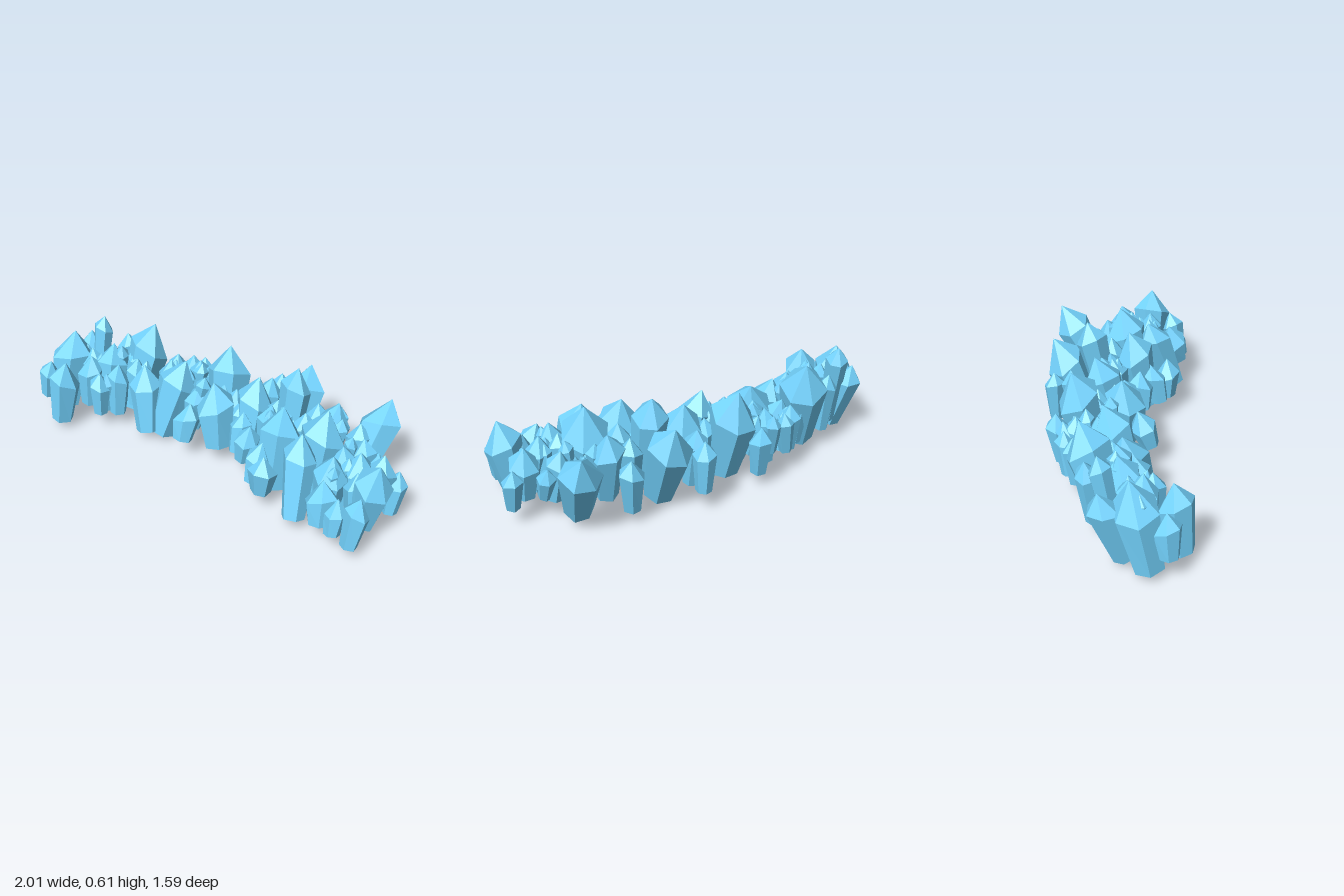
import * as THREE from 'three';

const material = new THREE.MeshStandardMaterial({ color: 0x74d4ff, flatShading: true });
const SIDES = 6;

// Small seeded generator for irregular facets
let seed = 7;
const rand = (a, b) => {
  seed = (seed * 16807) % 2147483647;
  return a + (b - a) * (seed / 2147483647);
};

// Main crystals: tip x, z, y, shoulder radius, base x, z, y
const LARGE = [
  [-0.79, -0.61, 0.50, 0.12, -0.88, -0.56, 0.04],
  [-0.71, -0.73, 0.43, 0.085, -0.75, -0.61, 0.04],
  [-0.62, -0.67, 0.56, 0.06, -0.68, -0.61, 0.08],
  [-0.56, -0.52, 0.47, 0.10, -0.62, -0.47, 0.06],
  [-0.32, -0.58, 0.56, 0.125, -0.46, -0.50, 0.05],
  [-0.14, -0.33, 0.47, 0.125, -0.29, -0.27, 0.03],
  [-0.38, -0.37, 0.42, 0.095, -0.37, -0.24, 0.05],
  [0.11, -0.36, 0.55, 0.125, 0.08, -0.26, 0.06],
  [0.01, -0.11, 0.47, 0.11, 0.03, -0.04, 0.10],
  [0.26, -0.12, 0.50, 0.115, 0.20, -0.02, 0.07],
  [0.55, -0.21, 0.52, 0.12, 0.43, -0.06, 0.06],
  [0.46, -0.04, 0.61, 0.09, 0.40, 0.05, 0.08],
  [0.37, 0.18, 0.52, 0.12, 0.32, 0.25, 0.06],
  [0.59, 0.27, 0.56, 0.13, 0.53, 0.32, 0.06],
  [0.95, 0.08, 0.49, 0.11, 0.77, 0.22, 0.08],
  [0.45, 0.37, 0.49, 0.095, 0.41, 0.53, 0.07],
  [0.80, 0.65, 0.50, 0.105, 0.75, 0.61, 0.11],
  [0.67, 0.10, 0.48, 0.095, 0.58, 0.17, 0.08],
  [0.60, 0.48, 0.43, 0.095, 0.57, 0.51, 0.06],
  [-0.83, -0.39, 0.42, 0.095, -0.88, -0.37, 0.05],
];

// Medium crystals: tip x, z, y, shoulder radius
const MEDIUM = [
  [-0.93, -0.50, 0.36, 0.07], [-0.69, -0.46, 0.42, 0.075], [-0.53, -0.40, 0.40, 0.07],
  [-0.64, -0.37, 0.36, 0.065], [-0.49, -0.66, 0.45, 0.06], [-0.42, -0.43, 0.42, 0.07],
  [-0.23, -0.48, 0.38, 0.07], [-0.19, -0.54, 0.38, 0.065], [-0.10, -0.54, 0.37, 0.055],
  [-0.06, -0.44, 0.40, 0.07], [0.08, -0.48, 0.36, 0.07], [-0.12, -0.10, 0.34, 0.075],
  [-0.07, -0.22, 0.38, 0.07], [0.40, -0.30, 0.40, 0.06], [0.34, -0.23, 0.42, 0.065],
  [0.69, -0.04, 0.38, 0.07], [0.20, 0.14, 0.36, 0.07], [0.26, 0.25, 0.34, 0.07],
  [0.26, 0.37, 0.34, 0.08], [0.49, 0.14, 0.45, 0.07], [0.78, 0.30, 0.40, 0.07],
  [0.86, 0.33, 0.33, 0.05], [0.74, 0.45, 0.43, 0.08], [0.86, 0.46, 0.42, 0.08],
  [0.94, 0.48, 0.33, 0.06], [0.54, 0.59, 0.37, 0.085], [0.71, 0.72, 0.36, 0.07],
  [0.61, 0.66, 0.31, 0.06], [0.32, 0.03, 0.42, 0.08], [0.57, 0.03, 0.43, 0.07],
  [0.14, -0.18, 0.38, 0.07], [0.78, 0.17, 0.40, 0.07], [0.17, 0.01, 0.36, 0.06],
  [0.71, 0.57, 0.40, 0.065], [0.66, 0.39, 0.42, 0.06], [-0.69, -0.55, 0.42, 0.065],
];

// Six-sided shaft that widens upward to a slanted shoulder, then closes in a point
function crystal(name, tip, base, radius) {
  const length = tip.distanceTo(base);
  const shoulder = length - Math.min(radius * 1.25, length * 0.45);
  const profile = [[0, 0], [radius * 0.69, 0], [radius, shoulder], [0, length]]
    .map(([r, y]) => new THREE.Vector2(r, y));
  const geometry = new THREE.LatheGeometry(profile, SIDES, rand(0, Math.PI));

  // Uneven shoulder height and a slightly oval section
  const p = geometry.attributes.position;
  const phase = rand(0, Math.PI * 2);
  for (let i = 0; i < p.count; i++) {
    const x = p.getX(i), z = p.getZ(i);
    const angle = Math.atan2(z, x);
    const oval = 1 + 0.06 * Math.cos(2 * angle + phase);
    p.setX(i, x * oval);
    p.setZ(i, z * oval);
    if (Math.abs(p.getY(i) - shoulder) < 1e-5) {
      p.setY(i, shoulder + radius * 0.3 * Math.cos(angle + phase));
    }
  }
  geometry.computeVertexNormals();

  const mesh = new THREE.Mesh(geometry, material);
  mesh.name = name;
  mesh.position.copy(base);
  mesh.quaternion.setFromUnitVectors(
    new THREE.Vector3(0, 1, 0), tip.clone().sub(base).normalize());
  return mesh;
}

export function createModel() {
  const model = new THREE.Group();
  model.name = 'crystalCluster';
  const cluster = new THREE.Group();
  cluster.name = 'crystals';
  model.add(cluster);
  const V = (x, y, z) => new THREE.Vector3(x, y, z);

  LARGE.forEach(([x, z, y, r, bx, bz, by]) =>
    cluster.add(crystal('largeCrystal', V(x, y, z), V(bx, by, bz), r)));

  MEDIUM.forEach(([x, z, y, r]) => {
    const base = V(x - rand(0, 0.05), rand(0.07, 0.14), z + rand(-0.01, 0.06));
    cluster.add(crystal('mediumCrystal', V(x, y, z), base, r));
  });

  // Small crystals fill the gaps along the winding bed
  const bed = new THREE.CatmullRomCurve3([
    V(-0.8, 0, -0.5), V(-0.5, 0, -0.5), V(-0.1, 0, -0.33),
    V(0.25, 0, -0.05), V(0.55, 0, 0.2), V(0.7, 0, 0.58),
  ]);
  const count = 70;
  for (let i = 0; i < count; i++) {
    const c = bed.getPointAt((i + 0.5) / count);
    const base = V(c.x + rand(-0.12, 0.12), rand(0.08, 0.15), c.z + rand(-0.12, 0.12));
    const tip = base.clone().add(V(rand(-0.03, 0.07), rand(0.2, 0.32), rand(-0.07, 0.03)));
    cluster.add(crystal('smallCrystal', tip, base, rand(0.035, 0.055)));
  }

  // Stand on the ground, centred
  const box = new THREE.Box3().setFromObject(cluster, true);
  const centre = box.getCenter(V(0, 0, 0));
  cluster.position.set(-centre.x, -box.min.y, -centre.z);
  return model;
}
